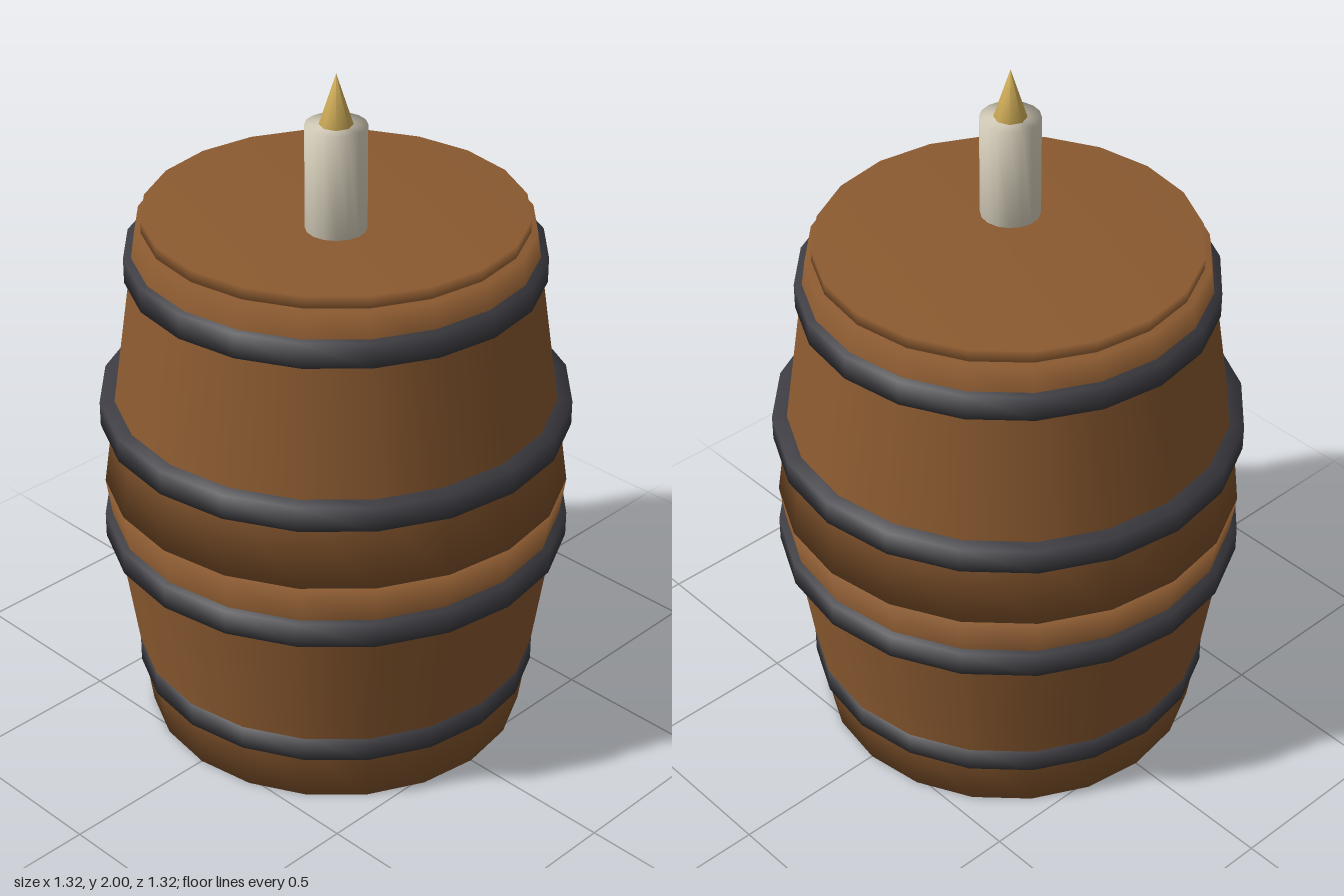
import * as THREE from 'three';

const wood = new THREE.MeshStandardMaterial({ name: 'wood', color: 0x8b5a30 });
const iron = new THREE.MeshStandardMaterial({ name: 'iron', color: 0x3c3c42 });
const wax = new THREE.MeshStandardMaterial({ name: 'wax', color: 0xdcd4c0 });
const fire = new THREE.MeshStandardMaterial({ name: 'fire', color: 0xd8b45c });

export function createModel() {
  const model = new THREE.Group();
  model.name = 'candleBarrel';

  // Softly shaded turned part; the profile runs from bottom to top as [radius, y]
  function turned(name, profile, sides, material, parent = model) {
    const points = profile.map(([r, y]) => new THREE.Vector2(r, y));
    const mesh = new THREE.Mesh(new THREE.LatheGeometry(points, sides), material);
    mesh.name = name;
    parent.add(mesh);
    return mesh;
  }

  // Barrel body: two tapered halves meeting at the belly
  turned('lowerBody', [[0, 0], [0.545, 0], [0.571, 0.18], [0.634, 0.62], [0.655, 0.77], [0, 0.77]], 20, wood);
  turned('upperBody', [[0, 0.77], [0.655, 0.77], [0.625, 0.98], [0.561, 1.42], [0.545, 1.53], [0, 1.53]], 20, wood);
  turned('lid', [[0, 1.52], [0.527, 1.52], [0.527, 1.565], [0, 1.565]], 20, wood);

  // Iron hoops
  const hoops = [[0.147, 0.577], [0.587, 0.66], [0.95, 0.66], [1.385, 0.577]];
  hoops.forEach(([y, r], i) => {
    turned('hoop' + (i + 1), [[r - 0.08, y], [r, y], [r, y + 0.072], [r - 0.08, y + 0.072]], 20, iron);
  });

  // Candle standing off-centre on the lid
  const candle = new THREE.Group();
  candle.name = 'candle';
  candle.position.set(0.088, 1.56, 0.088);
  model.add(candle);
  turned('candleStick', [[0, 0], [0.083, 0], [0.083, 0.3], [0, 0.3]], 16, wax, candle);
  turned('flame', [[0, 0.298], [0.046, 0.298], [0, 0.44]], 8, fire, candle);

  return model;
}
